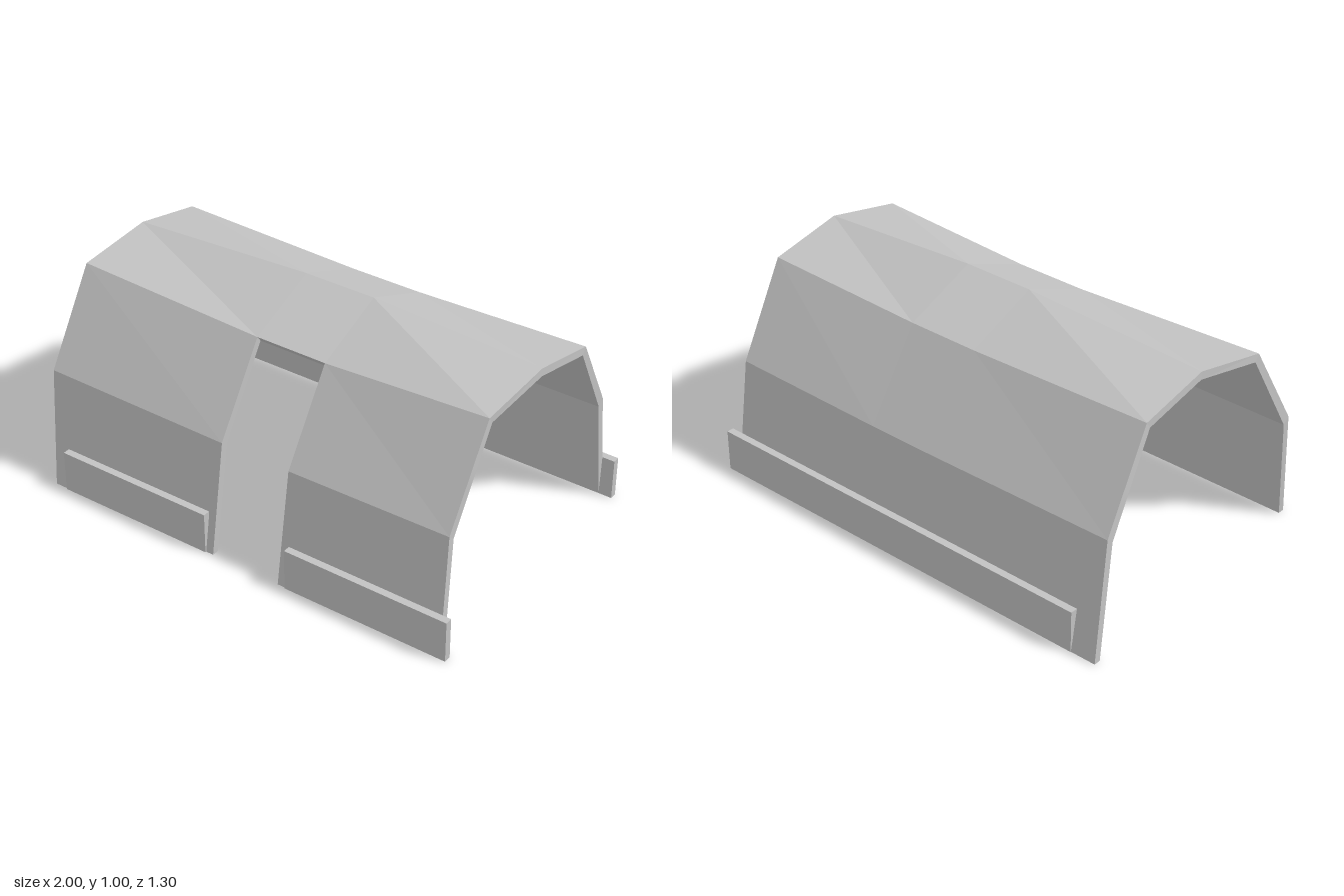
import * as THREE from 'three';

const grey = new THREE.MeshStandardMaterial({ color: 0xc2c2c2 });
grey.name = 'plain grey';

// Arch profile from front foot over the ridge to back foot, as [z, y]
const outerEnd = [[0.645, 0], [0.565, 0.51], [0.325, 0.905], [0, 0.96], [-0.325, 0.89], [-0.565, 0.51], [-0.65, 0]];
const innerEnd = [[0.615, 0], [0.535, 0.485], [0.305, 0.875], [0, 0.925], [-0.305, 0.86], [-0.535, 0.485], [-0.62, 0]];
// Towards the middle the ridge rises and the shoulders sag
const middleOuterY = [0, 0.5, 0.867, 1, 0.867, 0.5, 0];
const middleInnerY = [0, 0.485, 0.84, 0.965, 0.84, 0.485, 0];
const toMiddle = (profile, ys) => profile.map(([z], i) => [z, ys[i]]);

// Uneven x of the two open ends along the profile
const rightEndX = [-0.945, -0.985, -0.983, -0.953, -0.953, -0.977, -1];
const leftEndX = [0.972, 0.946, 0.95, 0.976, 0.98, 0.95, 0.94];

const station = (xs, outer, inner) => ({
  outer: outer.map(([z, y], i) => new THREE.Vector3(xs[i], y, z)),
  inner: inner.map(([z, y], i) => new THREE.Vector3(xs[i], y, z)),
});
const middleStation = (x) =>
  station(Array(7).fill(x), toMiddle(outerEnd, middleOuterY), toMiddle(innerEnd, middleInnerY));

const stations = [
  station(rightEndX, outerEnd, innerEnd),
  middleStation(-0.11),
  middleStation(0.213),
  station(leftEndX, outerEnd, innerEnd),
];

// Thick shell between two stations, over profile points from..to
function bay(name, a, b, from, to, capA, capB) {
  const pos = [];
  const quad = (p, q, r, s) => [p, q, r, p, r, s].forEach((v) => pos.push(v.x, v.y, v.z));
  for (let j = from; j < to; j++) {
    const k = j + 1;
    quad(b.outer[j], b.outer[k], a.outer[k], a.outer[j]);
    quad(b.inner[k], b.inner[j], a.inner[j], a.inner[k]);
    if (j < capA) quad(a.outer[j], a.outer[k], a.inner[k], a.inner[j]);
    if (j < capB) quad(b.outer[k], b.outer[j], b.inner[j], b.inner[k]);
  }
  // Rims along the front and back edges
  quad(a.outer[from], a.inner[from], b.inner[from], b.outer[from]);
  quad(a.inner[to], a.outer[to], b.outer[to], b.inner[to]);
  const geo = new THREE.BufferGeometry();
  geo.setAttribute('position', new THREE.Float32BufferAttribute(pos, 3));
  geo.computeVertexNormals();
  const mesh = new THREE.Mesh(geo, grey);
  mesh.name = name;
  return mesh;
}

// Board along the foot of a wall
function board(name, x0, x1, z) {
  const mesh = new THREE.Mesh(new THREE.BoxGeometry(x1 - x0, 0.185, 0.032), grey);
  mesh.position.set((x0 + x1) / 2, 0.0925, z);
  mesh.name = name;
  return mesh;
}

export function createModel() {
  const group = new THREE.Group();
  group.name = 'archedShelter';
  // Side bays reach the ground; the doorway bay starts at the front shoulder
  group.add(
    bay('rightBay', stations[0], stations[1], 0, 6, 6, 2),
    bay('doorwayBay', stations[1], stations[2], 2, 6, 0, 0),
    bay('leftBay', stations[2], stations[3], 0, 6, 2, 6),
    board('frontRightBoard', -0.885, -0.145, 0.634),
    board('frontLeftBoard', 0.25, 1, 0.634),
    board('backBoard', -0.885, 1, -0.636),
  );
  return group;
}
